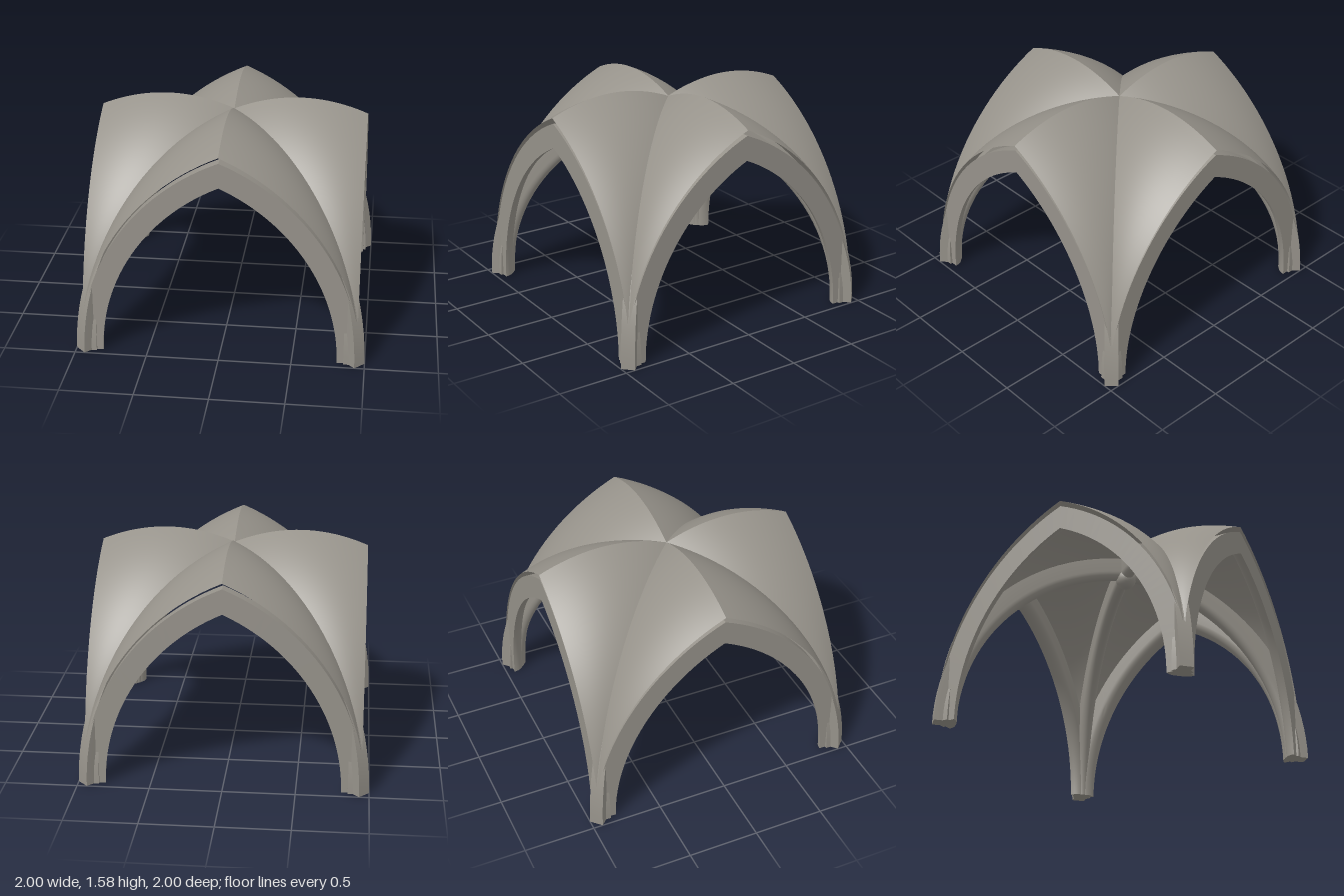
import * as THREE from 'three';
import { toCreasedNormals } from 'three/addons/utils/BufferGeometryUtils.js';

const HALF = 0.945;          // half side of the vaulted bay
const SEG = 28;

const stone = new THREE.MeshStandardMaterial({ color: 0x96928a, side: THREE.DoubleSide });
stone.name = 'stone';

// Pointed arch from the right springing over the crown to the left one
function pointedArch(c, r) {
  const end = Math.acos(c / r);
  const right = Array.from({ length: SEG + 1 }, (_, i) => {
    const a = (end * i) / SEG;
    return new THREE.Vector2(r * Math.cos(a) - c, r * Math.sin(a));
  });
  return [...right, ...right.slice(0, -1).reverse().map((p) => new THREE.Vector2(-p.x, p.y))];
}

// Rib swept between two arches; profile points are [0 soffit .. 1 back, z]
function ribGeometry(inner, outer, profile) {
  const n = profile.length, last = (inner.length - 1) * n;
  const pos = [], idx = [];
  inner.forEach((p, i) => profile.forEach(([t, z], j) => {
    const v = p.clone().lerp(outer[i], t);
    pos.push(v.x, v.y, z);
    if (i < inner.length - 1) {
      const a = i * n + j, b = i * n + ((j + 1) % n);
      idx.push(a, b, a + n, b, b + n, a + n);
    }
  }));
  // feet
  for (let j = 1; j < n - 1; j++) idx.push(0, j + 1, j, last, last + j, last + j + 1);
  const geo = new THREE.BufferGeometry();
  geo.setAttribute('position', new THREE.Float32BufferAttribute(pos, 3));
  geo.setIndex(idx);
  return toCreasedNormals(geo, 0.5);
}

// Rounded soffit running from one side of the rib to the other
function soffit(steps, sweep, depth, toZ) {
  return Array.from({ length: steps + 1 }, (_, i) => {
    const a = (sweep * i) / steps;
    return [depth * (1 - Math.sin(a)), toZ(Math.cos(a))];
  });
}

// Half of one vault cell: arcs fanning from the corner springer to the ridge
function webGeometry(side) {
  const n = 24, y0 = 0.27, pos = [], idx = [];
  for (let i = 0; i <= n; i++) {
    const s = (HALF * i) / n;                      // ridge point, 0 = centre
    const k = (2 * i) / n - 1;
    const h = 1.475 + 0.1 * (1 - k * k);           // domed ridge
    const len = Math.hypot(HALF, HALF - s);
    const c = (h * h - y0 * y0 - len * len) / (2 * len);
    const r = Math.hypot(c, h);
    for (let j = 0; j <= n; j++) {
      const t = 0.9995 * Math.sin((j / n) * Math.PI / 2);  // 0 = ridge, 1 = corner
      const y = Math.sqrt(r * r - (len * t + c) ** 2);
      pos.push(side * HALF * t, y, s + (HALF - s) * t);
      if (i < n && j < n) {
        const a = i * (n + 1) + j, b = a + 1, d = a + n + 1, e = d + 1;
        if (side > 0) idx.push(a, d, b, b, d, e);
        else idx.push(a, b, d, b, e, d);
      }
    }
  }
  const geo = new THREE.BufferGeometry();
  geo.setAttribute('position', new THREE.Float32BufferAttribute(pos, 3));
  geo.setIndex(idx);
  geo.computeVertexNormals();
  return geo;
}

export function createModel() {
  const model = new THREE.Group();
  model.name = 'ribVault';
  const add = (parent, name, geo) => {
    const mesh = new THREE.Mesh(geo, stone);
    mesh.name = name;
    parent.add(mesh);
    return mesh;
  };

  // Wall arch: flat outer face, soffit rounded towards the inside
  const wallRib = ribGeometry(pointedArch(0.575, 1.385), pointedArch(0.596, 1.554), [
    [1, 0.94], [1, 0.855],
    ...soffit(8, Math.PI / 2, 0.45, (c) => 0.94 - 0.085 * c),
  ]);
  // Diagonal rib: fully rounded soffit
  const diagonalRib = ribGeometry(pointedArch(0.071, 1.277), pointedArch(0.071, 1.437), [
    [1, 0.0475], [1, -0.0475],
    ...soffit(12, Math.PI, 0.35, (c) => -0.0475 * c),
  ]);
  const webs = [webGeometry(1), webGeometry(-1)];

  // Four bays, each with a pointed wall arch and two web halves
  for (let k = 0; k < 4; k++) {
    const bay = new THREE.Group();
    bay.name = 'vaultCell';
    bay.rotation.y = (k * Math.PI) / 2;
    add(bay, 'wallArch', wallRib);
    webs.forEach((g) => add(bay, 'web', g));
    model.add(bay);
  }

  // Two ribs crossing on the diagonals, with a boss at the crown
  for (const s of [1, -1]) add(model, 'diagonalRib', diagonalRib).rotation.y = (s * Math.PI) / 4;
  add(model, 'boss', new THREE.SphereGeometry(0.075, 24, 16)).position.y = 1.287;

  return model;
}
